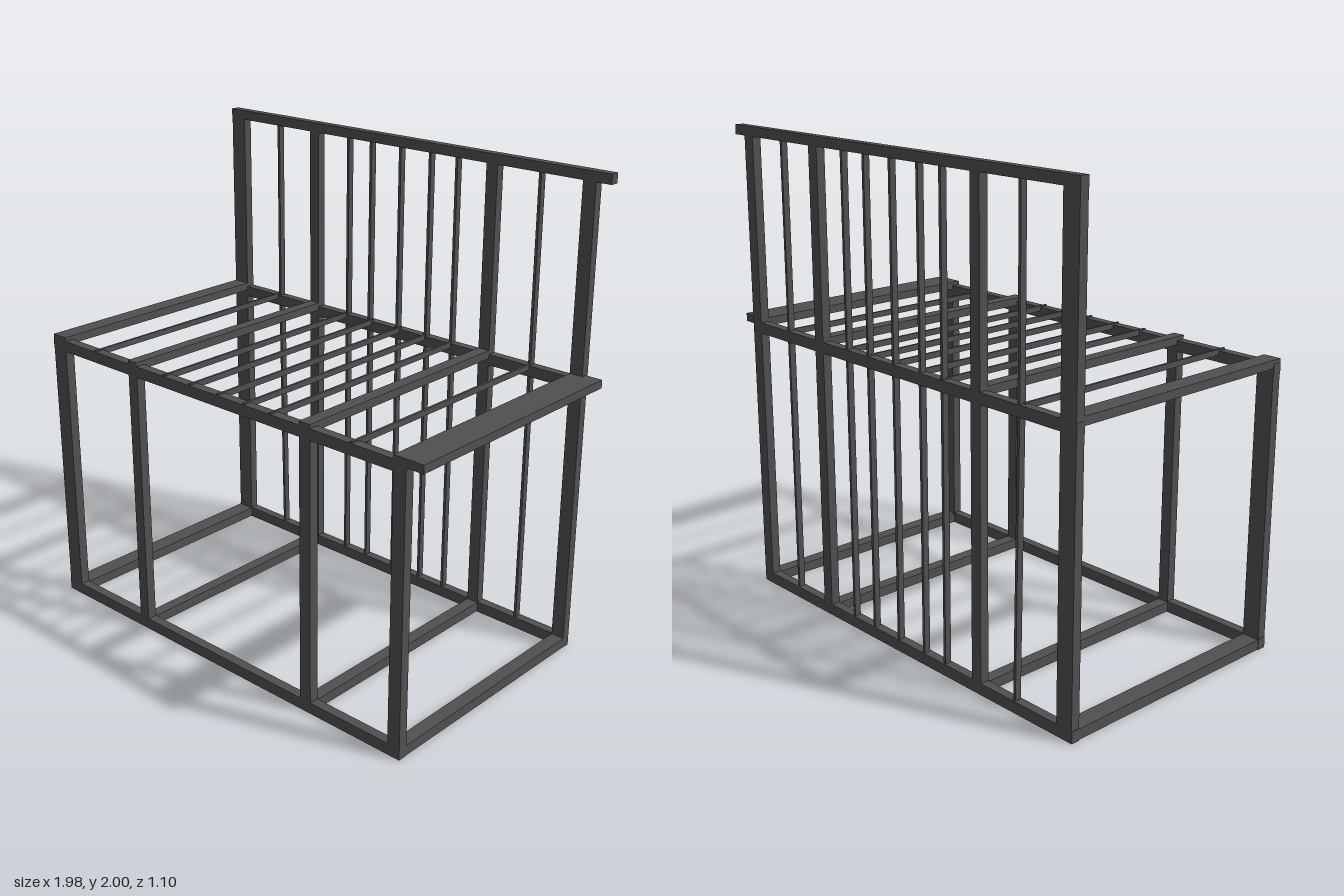
import * as THREE from 'three';

export function createModel() {
  const model = new THREE.Group();
  const steel = new THREE.MeshStandardMaterial({ color: 0x505050 });
  steel.name = 'dark steel';

  // Box from its min and max on each axis
  function bar(name, [x0, x1], [y0, y1], [z0, z1]) {
    const mesh = new THREE.Mesh(new THREE.BoxGeometry(x1 - x0, y1 - y0, z1 - z0), steel);
    mesh.position.set((x0 + x1) / 2, (y0 + y1) / 2, (z0 + z1) / 2);
    mesh.name = name;
    model.add(mesh);
    return mesh;
  }

  const front = [0.51, 0.55];
  const back = [-0.55, -0.512];
  const frames = [[-0.988, -0.912], [-0.513, -0.463], [0.42, 0.473], [0.858, 0.915]];

  // Long rails
  bar('frontBottomRail', [-0.99, 0.915], [0, 0.048], front);
  bar('backBottomRail', [-0.99, 0.915], [0, 0.048], back);
  bar('frontDeckRail', [-0.99, 0.915], [1.14, 1.186], front);
  bar('backDeckRail', [-0.99, 0.915], [1.14, 1.186], back);
  bar('topRail', [-0.99, 0.98], [1.96, 2], back);

  // Posts, floor beams and deck beams of each frame; the last deck beam is a wide board
  frames.forEach((x, i) => {
    bar('frontPost', x, [0.04, 1.15], front);
    bar('backPost', x, [0.04, 1.97], back);
    bar('floorBeam', x, [0.002, 0.044], [-0.52, 0.52]);
    bar(i === 3 ? 'deckBoard' : 'deckBeam', i === 3 ? [0.858, 0.99] : x, [1.168, 1.202], [-0.535, 0.55]);
  });

  // Thin deck slats
  for (const x of [-0.72, -0.305, -0.158, -0.003, 0.135, 0.273, 0.665]) {
    bar('deckSlat', [x - 0.005, x + 0.005], [1.168, 1.192], [-0.53, 0.548]);
  }

  // Thin upright bars of the back panel, the first one slightly tilted below the deck
  for (const x of [-0.707, -0.3, -0.175, -0.018, 0.137, 0.271, 0.666]) {
    const w = [x - 0.006, x + 0.006];
    bar('upperBar', w, [1.17, 1.97], [-0.545, -0.518]);
    const lower = bar('lowerBar', w, [0.03, 1.15], [-0.545, -0.518]);
    if (x < -0.7) {
      lower.position.x += 0.009;
      lower.rotation.z = 0.014;
    }
  }
  return model;
}
